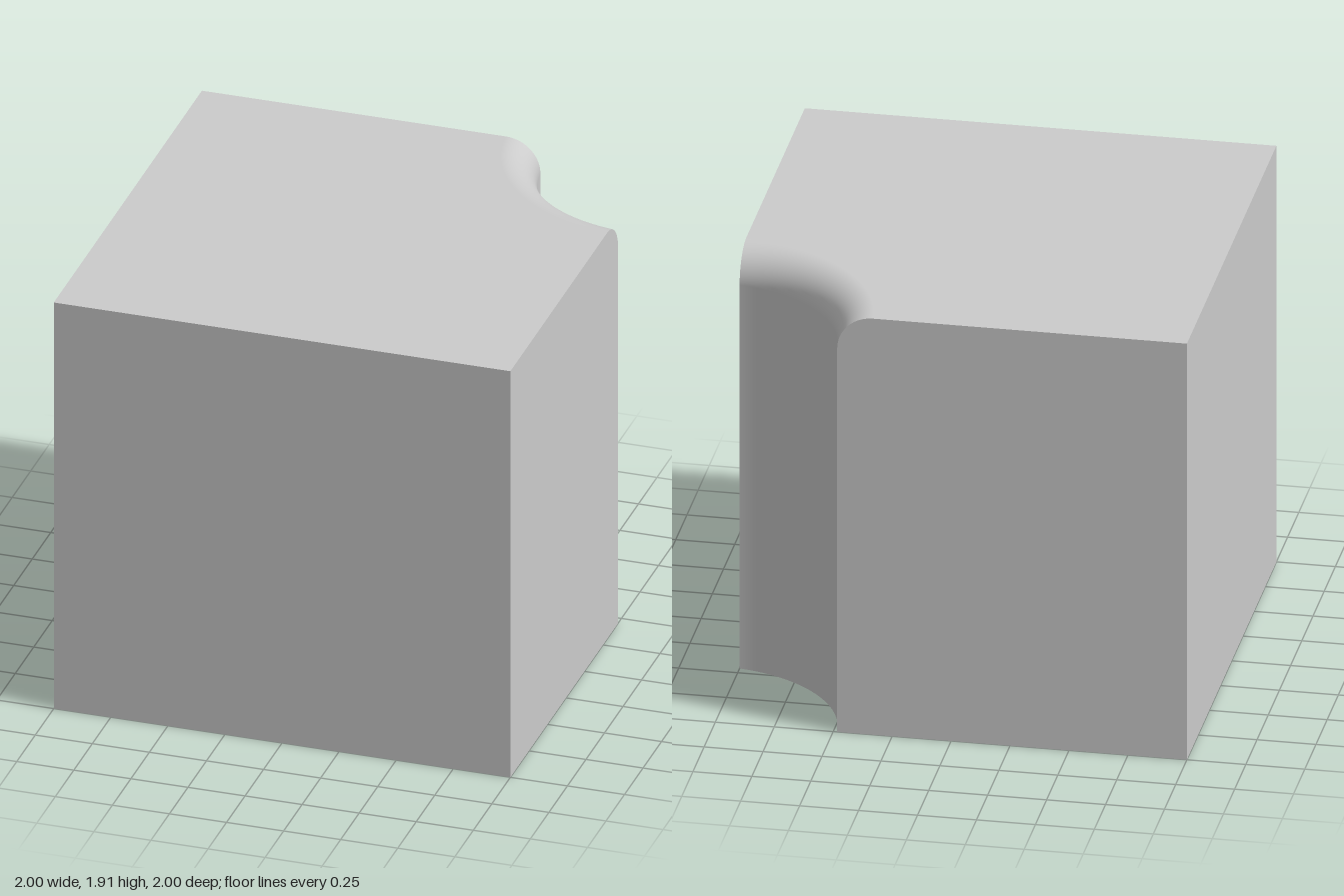
import * as THREE from 'three';

const H = 1.91;              // block height
const CX = 1.09, CZ = -1.06; // axis of the corner scoop
const R = 0.61, F = 0.15;    // scoop radius, top fillet radius
const ARC = 40, FIL = 14;    // segments around the scoop and over the fillet

// Scoop profile, bottom to top: radius, height, tilt of the normal
const profile = [{ r: R, y: 0, phi: 0 }];
for (let i = 0; i <= FIL; i++) {
  const phi = (i / FIL) * Math.PI / 2;
  profile.push({ r: R + F * (1 - Math.cos(phi)), y: H - F + F * Math.sin(phi), phi });
}

// Angle along the scoop, running from the back face to the side face
function angle(r, t) {
  const start = Math.asin((-1 - CZ) / r), end = Math.acos((CX - 1) / r);
  return start + (end - start) * t;
}

function scoopPoint({ r, y }, t) {
  const a = angle(r, t);
  return new THREE.Vector3(CX - r * Math.cos(a), y, CZ + r * Math.sin(a));
}

// Concave wall blending into the rounded top edge
function scoopGeometry() {
  const pos = [], nor = [], idx = [], row = ARC + 1;
  profile.forEach((p, i) => {
    for (let j = 0; j <= ARC; j++) {
      const t = j / ARC, a = angle(p.r, t), c = Math.cos(p.phi);
      pos.push(...scoopPoint(p, t).toArray());
      nor.push(c * Math.cos(a), Math.sin(p.phi), -c * Math.sin(a));
      if (i < profile.length - 1 && j < ARC) {
        const k = i * row + j;
        idx.push(k, k + row, k + 1, k + 1, k + row, k + row + 1);
      }
    }
  });
  const g = new THREE.BufferGeometry();
  g.setAttribute('position', new THREE.Float32BufferAttribute(pos, 3));
  g.setAttribute('normal', new THREE.Float32BufferAttribute(nor, 3));
  g.setIndex(idx);
  return g;
}

export function createModel() {
  const group = new THREE.Group();
  group.name = 'scoopedBlock';
  const material = new THREE.MeshStandardMaterial({ color: 0xcccccc });
  const add = (name, geometry) => {
    const mesh = new THREE.Mesh(geometry, material);
    mesh.name = name;
    group.add(mesh);
    return mesh;
  };
  const flat = pts => new THREE.ShapeGeometry(new THREE.Shape(pts.map(p => new THREE.Vector2(...p))));

  // Horizontal faces, with the scoop arc cut from the back corner
  const plan = (p, s) => {
    const pts = [[1, s], [-1, s], [-1, -s]];
    for (let j = 0; j <= ARC; j++) {
      const v = scoopPoint(p, j / ARC);
      pts.push([v.x, s * v.z]);
    }
    return flat(pts);
  };
  add('topFace', plan(profile[profile.length - 1], -1).rotateX(-Math.PI / 2).translate(0, H, 0));
  add('bottomFace', plan(profile[0], 1).rotateX(Math.PI / 2));

  // Plain upright faces
  const rect = [[-1, 0], [1, 0], [1, H], [-1, H]];
  add('frontFace', flat(rect).translate(0, 0, 1));
  add('rightFace', flat(rect).rotateY(-Math.PI / 2).translate(-1, 0, 0));

  // Upright faces that end at the scoop's rounded profile
  const sideEdge = profile.map(p => [-scoopPoint(p, 1).z, p.y]);
  add('leftFace', flat([[-1, 0], ...sideEdge, [-1, H]]).rotateY(Math.PI / 2).translate(1, 0, 0));
  const backEdge = profile.map(p => [-scoopPoint(p, 0).x, p.y]).reverse();
  add('backFace', flat([[1, 0], [1, H], ...backEdge]).rotateY(Math.PI).translate(0, 0, -1));

  add('cornerScoop', scoopGeometry());
  return group;
}
